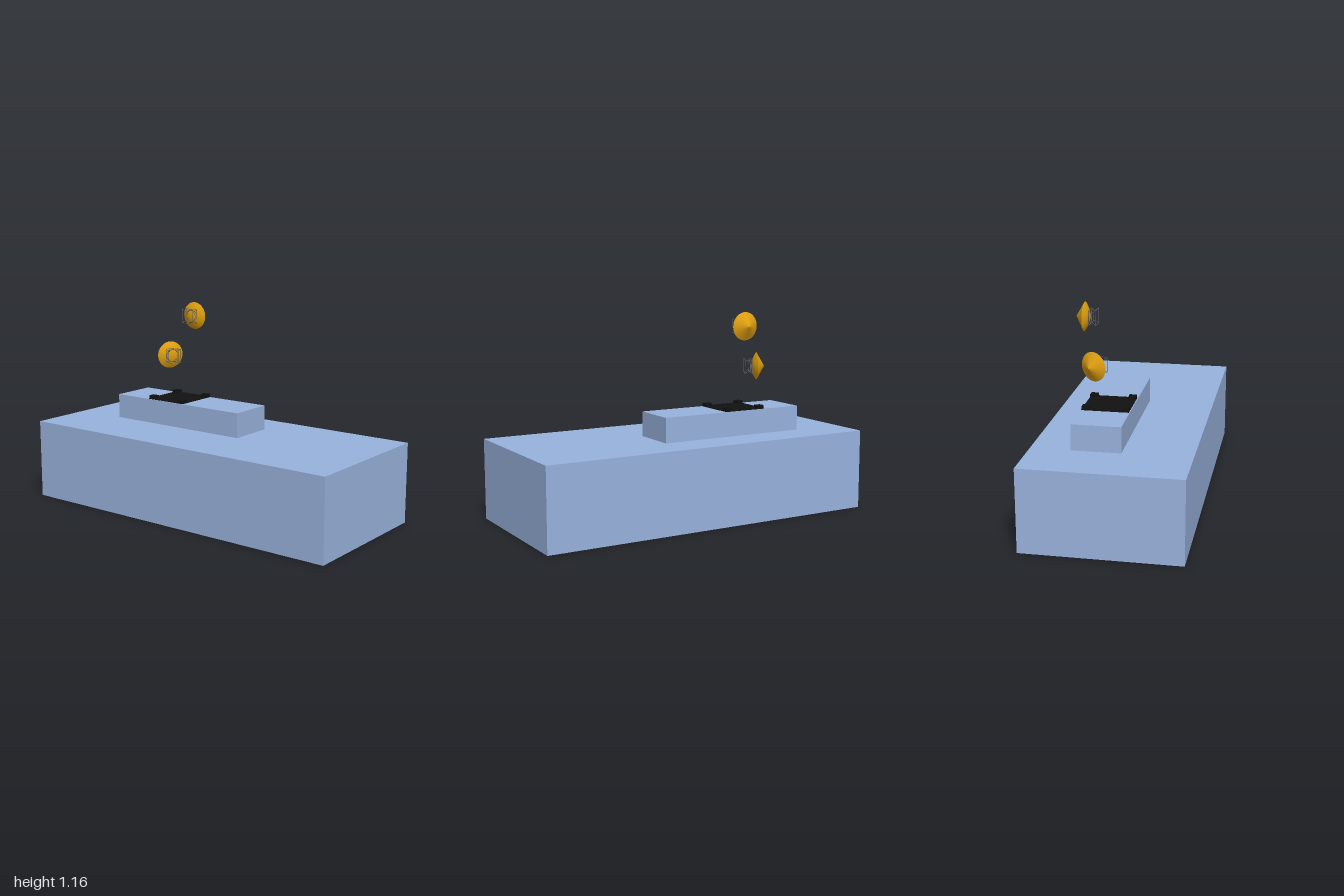
import * as THREE from 'three';

const mat = (color) => new THREE.MeshStandardMaterial({ color });
const blue = mat(0x98b2dc), black = mat(0x111111), gold = mat(0xe0a010), grey = mat(0x666666);

// Box given by its minimum and maximum corners
function box(name, material, [x0, y0, z0], [x1, y1, z1]) {
  const mesh = new THREE.Mesh(new THREE.BoxGeometry(x1 - x0, y1 - y0, z1 - z0), material);
  mesh.position.set((x0 + x1) / 2, (y0 + y1) / 2, (z0 + z1) / 2);
  mesh.name = name;
  return mesh;
}

// Thin rod between two points
function rod(a, b, r = 0.0014) {
  const dir = b.clone().sub(a);
  const mesh = new THREE.Mesh(new THREE.CylinderGeometry(r, r, dir.length(), 6), grey);
  mesh.position.copy(a).add(b).multiplyScalar(0.5);
  mesh.quaternion.setFromUnitVectors(new THREE.Vector3(0, 1, 0), dir.normalize());
  mesh.name = 'feedStrut';
  return mesh;
}

// Dish with its pointed back along +x, rim at x = 0 and feed frame on -x
function createDish(name) {
  const dish = new THREE.Group();
  dish.name = name;
  const R = 0.08;

  const back = new THREE.Mesh(new THREE.ConeGeometry(R, 0.046, 40, 1, true), gold);
  back.rotation.z = -Math.PI / 2;
  back.position.x = 0.023;
  back.name = 'dishBack';

  // Shallow domed face
  const profile = [];
  for (let i = 0; i <= 10; i++) {
    const t = i / 10;
    profile.push(new THREE.Vector2(R * t, -0.028 * (1 - t * t)));
  }
  const face = new THREE.Mesh(new THREE.LatheGeometry(profile, 40), gold);
  face.rotation.z = -Math.PI / 2;
  face.name = 'dishFace';
  dish.add(back, face);

  // Feed frame: square ends joined by crossed struts
  const feed = new THREE.Group();
  feed.name = 'feedFrame';
  const h = 0.04, near = -0.028, far = -0.067;
  const corner = (x, k) => new THREE.Vector3(x, [h, h, -h, -h][k % 4], [h, -h, -h, h][k % 4]);
  for (let k = 0; k < 4; k++) {
    feed.add(rod(corner(near, k), corner(near, k + 1)));
    feed.add(rod(corner(far, k), corner(far, k + 1)));
    const mid = corner(-0.047, k).multiply(new THREE.Vector3(1, 0.65, 0.65));
    feed.add(rod(corner(far, k), mid), rod(mid, corner(near, k)));
  }
  // Rings inside the frame
  for (const x of [-0.04, near]) {
    const ring = new THREE.Mesh(new THREE.TorusGeometry(0.036, 0.0014, 6, 28), grey);
    ring.rotation.y = Math.PI / 2;
    ring.position.x = x;
    ring.name = 'feedRing';
    feed.add(ring);
  }
  dish.add(feed);
  return dish;
}

export function createModel() {
  const model = new THREE.Group();
  model.name = 'buildingWithDishes';

  // Stacked blocks
  model.add(box('baseBlock', blue, [-0.43, 0, -1], [0.43, 0.46, 1]));
  model.add(box('upperBlock', blue, [-0.055, 0.46, -0.7], [0.212, 0.602, 0.19]));

  // Dark platform with four corner blocks
  model.add(box('platform', black, [-0.05, 0.602, -0.465], [0.208, 0.607, -0.207]));
  for (const x of [-0.048, 0.167])
    for (const z of [-0.463, -0.247])
      model.add(box('cornerBlock', black, [x, 0.602, z], [x + 0.04, 0.623, z + 0.04]));

  // Two floating dishes
  const upper = createDish('upperDish');
  upper.position.set(0.213, 1.083, -0.325);
  const lower = createDish('lowerDish');
  lower.position.set(0.14, 0.844, -0.455);
  lower.rotation.y = THREE.MathUtils.degToRad(63);
  model.add(upper, lower);
  return model;
}
